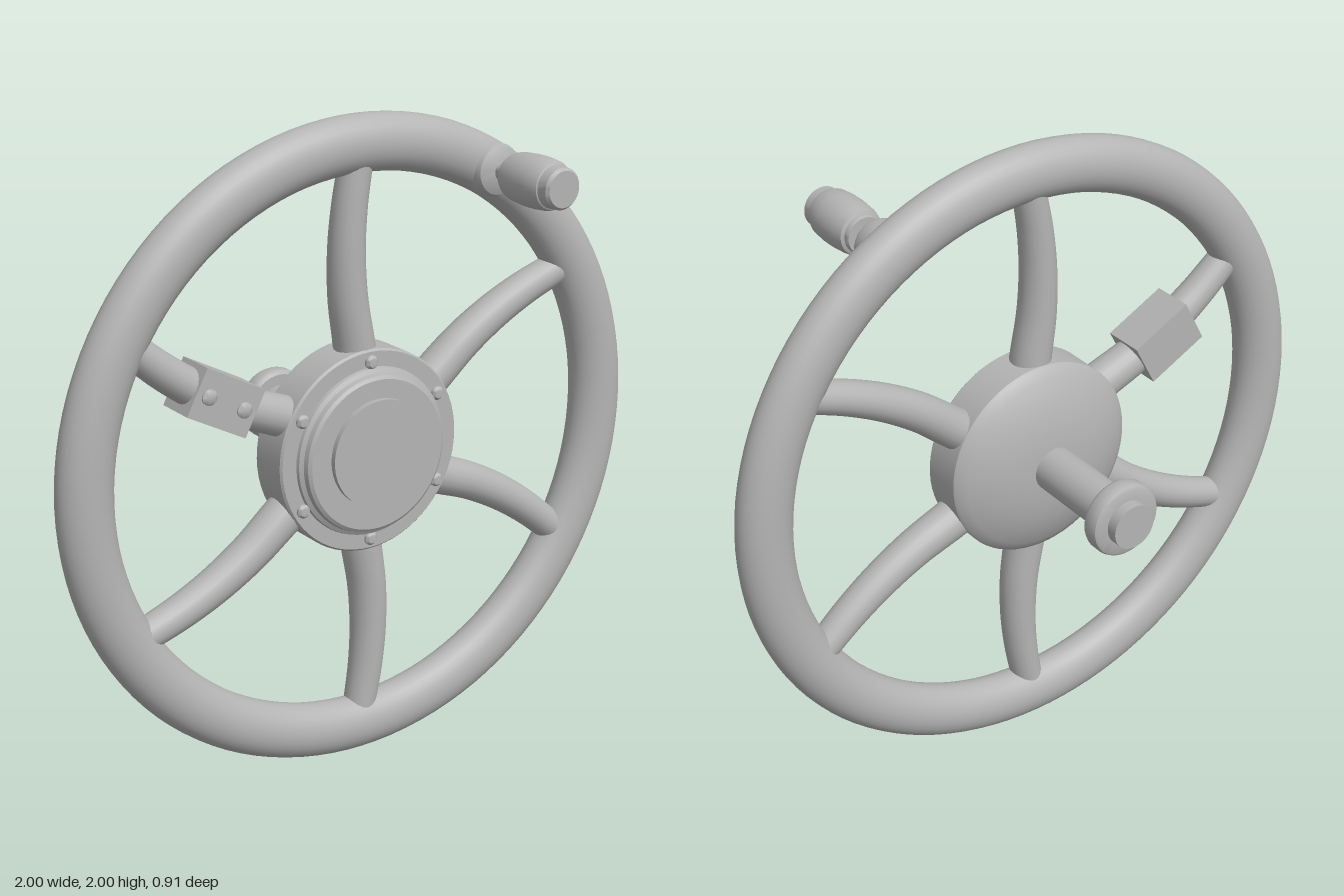
import * as THREE from 'three';
import { toCreasedNormals } from 'three/addons/utils/BufferGeometryUtils.js';

const MID_Z = 0.076; // middle plane of the rim

export function createModel() {
  const model = new THREE.Group();
  model.name = 'handWheel';
  const metal = new THREE.MeshStandardMaterial({ color: 0xb4b4b4 });
  metal.name = 'grey metal';

  const add = (name, geometry, parent = model) => {
    const mesh = new THREE.Mesh(geometry, metal);
    mesh.name = name;
    parent.add(mesh);
    return mesh;
  };
  // Turned part around the z axis; profile is [radius, z] from back to front
  const turned = (profile, segments = 48) => {
    const g = new THREE.LatheGeometry(profile.map(([r, z]) => new THREE.Vector2(r, z)), segments);
    g.rotateX(Math.PI / 2);
    return toCreasedNormals(g, 0.6);
  };

  // Everything in the wheel is centred on its axle
  const wheel = new THREE.Group();
  wheel.name = 'wheel';
  wheel.position.y = 1;
  model.add(wheel);

  // Rim, slightly flattened from front to back
  const rim = add('rim', new THREE.TorusGeometry(0.914, 0.086, 28, 112), wheel);
  rim.scale.z = 0.82;
  rim.position.z = MID_Z;

  // Six curved spokes, tapering towards the rim
  const curve = new THREE.CatmullRomCurve3([
    [0.0, 0.2], [-0.012, 0.31], [-0.035, 0.46], [-0.04, 0.6], [-0.03, 0.73], [-0.008, 0.86],
  ].map(([x, y]) => new THREE.Vector3(x, y, 0)));
  const rings = 24, sides = 20;
  const spoke = new THREE.TubeGeometry(curve, rings, 1, sides, false);
  const pos = spoke.attributes.position;
  const v = new THREE.Vector3();
  for (let i = 0; i <= rings; i++) {
    const centre = curve.getPointAt(i / rings);
    const radius = 0.066 - 0.016 * (i / rings);
    for (let j = 0; j <= sides; j++) {
      const k = i * (sides + 1) + j;
      v.fromBufferAttribute(pos, k).sub(centre).multiplyScalar(radius).add(centre);
      pos.setXYZ(k, v.x, v.y, v.z);
    }
  }
  for (let i = 0; i < 6; i++) {
    const s = add('spoke', spoke, wheel);
    s.rotation.z = (i * Math.PI) / 3;
    s.position.z = MID_Z;
  }

  // Hub drum with domed back
  add('hub', turned([
    [0, -0.068], [0.1, -0.066], [0.17, -0.056], [0.23, -0.037], [0.28, -0.014], [0.308, 0.004],
    [0.314, 0.012], [0.314, 0.138], [0.308, 0.145], [0, 0.145],
  ], 64), wheel);

  // Raised front cap and plain centre boss
  add('hubCap', turned([
    [0.262, 0.14], [0.258, 0.155], [0.246, 0.162], [0.242, 0.178], [0.232, 0.185], [0, 0.185],
  ], 64), wheel);
  const boss = add('centreBoss', turned([[0.165, 0.18], [0.165, 0.203], [0, 0.203]]), wheel);
  boss.position.y = 0.01;

  // Ring of hub bolts
  const bolt = turned([[0.021, 0.13], [0.021, 0.152], [0.014, 0.16], [0, 0.162]], 16);
  for (let i = 0; i < 6; i++) {
    const a = Math.PI / 6 + (i * Math.PI) / 3;
    add('hubBolt', bolt, wheel).position.set(0.277 * Math.cos(a), 0.277 * Math.sin(a), 0);
  }

  // Axle with a rounded collar near its end
  add('axle', turned([[0, -0.455], [0.07, -0.455], [0.07, -0.04]], 40), wheel);
  add('axleCollar', turned([
    [0.06, -0.42], [0.104, -0.42], [0.112, -0.415], [0.116, -0.405], [0.116, -0.373],
    [0.112, -0.364], [0.104, -0.358], [0.06, -0.358],
  ], 40), wheel);

  // Clamp block on the upper spoke of the wheel's right side
  const clamp = new THREE.Group();
  clamp.name = 'spokeClamp';
  clamp.position.set(-0.488, 0.238, 0);
  clamp.rotation.z = -0.48;
  wheel.add(clamp);
  add('clampBlock', new THREE.BoxGeometry(0.213, 0.15, 0.135), clamp).position.z = 0.0725;
  const clampBolt = turned([[0.024, 0.12], [0.024, 0.146], [0.016, 0.152], [0, 0.153]], 16);
  for (const x of [-0.064, 0.064]) add('clampBolt', clampBolt, clamp).position.x = x;

  // Spinner knob on the rim
  const knob = new THREE.Group();
  knob.name = 'knob';
  knob.position.set(0.452, 0.792, 0);
  wheel.add(knob);
  add('knobBase', turned([
    [0, 0.08], [0.08, 0.1], [0.08, 0.142], [0.073, 0.157], [0.05, 0.168], [0, 0.171],
  ], 32), knob);
  add('knobStem', turned([[0.028, 0.15], [0.028, 0.23]], 24), knob);
  add('knobHandle', turned([
    [0, 0.215], [0.055, 0.215], [0.058, 0.222], [0.058, 0.232], [0.068, 0.236], [0.074, 0.26],
    [0.078, 0.31], [0.078, 0.35], [0.074, 0.395], [0.068, 0.41], [0.064, 0.412], [0.062, 0.445],
    [0.054, 0.455], [0, 0.455],
  ], 40), knob);

  return model;
}
